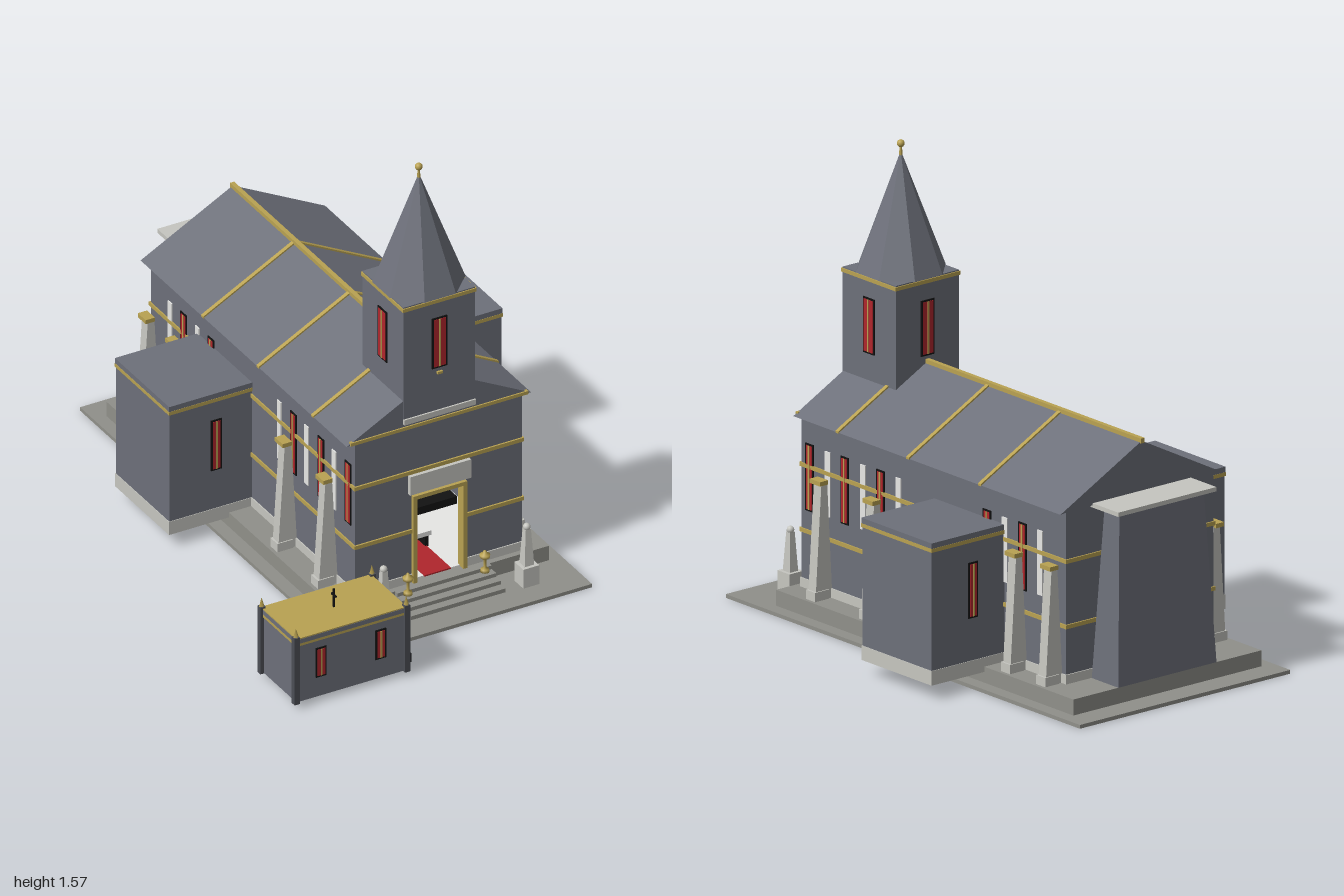
import * as THREE from 'three';

const mat = (name, color, side = THREE.FrontSide) => {
  const m = new THREE.MeshStandardMaterial({ color, side });
  m.name = name;
  return m;
};

export function createModel() {
  const wall = mat('slate grey', 0x6d707a), stone = mat('base stone', 0x90908a);
  const light = mat('light stone', 0xc6c6c0), gold = mat('gold', 0xb9a252);
  const red = mat('red glass', 0xb0262c), black = mat('black', 0x121212);
  const white = mat('white', 0xf4f4f2), dark = mat('dark grey', 0x4c4e55);

  const add = (parent, name, geo, m, x = 0, y = 0, z = 0) => {
    const mesh = new THREE.Mesh(geo, m);
    mesh.name = name;
    mesh.position.set(x, y, z);
    parent.add(mesh);
    return mesh;
  };
  // Box given by its limits
  const box = (p, name, m, x0, x1, y0, y1, z0, z1) => add(p, name,
    new THREE.BoxGeometry(x1 - x0, y1 - y0, z1 - z0), m, (x0 + x1) / 2, (y0 + y1) / 2, (z0 + z1) / 2);
  const group = (p, name, x = 0, y = 0, z = 0) => {
    const g = new THREE.Group();
    g.name = name;
    g.position.set(x, y, z);
    p.add(g);
    return g;
  };
  const poly = pts => new THREE.Shape(pts.map(p => new THREE.Vector2(...p)));
  const extrude = (shape, depth) => new THREE.ExtrudeGeometry(shape, { depth, bevelEnabled: false });
  // Box whose top is scaled inwards
  const tapered = (w, h, d, tx, tz) => {
    const g = new THREE.BoxGeometry(w, h, d), a = g.attributes.position;
    for (let i = 0; i < a.count; i++) {
      if (a.getY(i) > 0) a.setXYZ(i, a.getX(i) * tx, a.getY(i), a.getZ(i) * tz);
    }
    g.computeVertexNormals();
    return g;
  };
  // Framed window facing along the angle ry
  const windowAt = (p, x, y, z, w, h, ry) => {
    const g = group(p, 'window', x, y, z);
    g.rotation.y = ry;
    add(g, 'windowFrame', new THREE.BoxGeometry(w + 0.012, h + 0.012, 0.005), black, 0, 0, 0.001);
    add(g, 'windowGlass', new THREE.BoxGeometry(w, h, 0.008), red, 0, 0, 0.001);
    add(g, 'windowBar', new THREE.BoxGeometry(0.006, h, 0.0095), gold, 0, 0, 0.002);
  };

  const root = new THREE.Group();
  root.name = 'chapelWithOutbuilding';
  const c = group(root, 'chapel', 0.075);

  // Ground slab, plinth, floor and steps
  box(c, 'groundSlab', stone, -0.45, 0.45, 0, 0.013, -1, 0.8);
  box(c, 'plinth', stone, -0.4025, 0.4025, 0.013, 0.068, -0.91, 0.6);
  box(c, 'floor', white, -0.305, 0.305, 0.066, 0.072, -0.76, 0.565);
  box(c, 'carpet', red, -0.05, 0.05, 0.07, 0.075, -0.6, 0.57);
  for (let i = 0; i < 4; i++) {
    box(c, 'step', stone, -0.178, 0.178, 0.013, 0.068 - i * 0.0135, 0.59, 0.615 + i * 0.03);
  }

  // Nave walls with an open doorway
  const front = poly([[-0.315, 0.068], [-0.088, 0.068], [-0.088, 0.39], [0.088, 0.39],
    [0.088, 0.068], [0.315, 0.068], [0.315, 0.67], [-0.315, 0.67]]);
  add(c, 'frontWall', extrude(front, 0.02), wall, 0, 0, 0.555);
  box(c, 'backWall', wall, -0.315, 0.315, 0.068, 0.67, -0.77, -0.75);
  for (const s of [-1, 1]) {
    const xo = s * 0.315, lo = Math.min(xo, s * 0.295), hi = Math.max(xo, s * 0.295);
    box(c, 'sideWall', wall, lo, hi, 0.068, 0.67, -0.77, 0.575);
    box(c, 'sideFooting', light, xo - 0.004, xo + 0.004, 0.068, 0.1, -0.774, 0.579);
    for (const y of [0.265, 0.49]) {
      box(c, 'sideBand', gold, xo - 0.005, xo + 0.005, y - 0.007, y + 0.007, -0.775, 0.58);
    }
    box(c, 'frontFooting', light, s > 0 ? 0.1 : -0.315, s > 0 ? 0.315 : -0.1, 0.068, 0.1, 0.57, 0.579);
    box(c, 'frontBand', gold, s > 0 ? 0.1 : -0.318, s > 0 ? 0.318 : -0.1, 0.258, 0.272, 0.57, 0.581);
    // Red and white windows in turn along the side
    for (const z of [0.533, 0.354, 0.172, -0.37, -0.55]) {
      windowAt(c, xo, 0.453, z, 0.028, 0.22, s * Math.PI / 2);
    }
    for (const z of [0.44, 0.26, 0.08, -0.46, -0.64]) {
      box(c, 'paleWindow', white, xo - 0.004, xo + 0.004, 0.342, 0.565, z - 0.013, z + 0.013);
    }
    // Tapering buttresses with gold caps
    for (const z of [0.44, 0.172, -0.55, -0.73]) {
      const b = poly([[0.313, 0.068], [0.385, 0.068], [0.36, 0.465], [0.335, 0.465]]);
      const g = group(c, 'buttress', 0, 0, z);
      g.rotation.y = s > 0 ? 0 : Math.PI;
      add(g, 'buttressShaft', extrude(b, 0.038), light, 0, 0, -0.019);
      box(g, 'buttressFoot', light, 0.33, 0.39, 0.068, 0.1, -0.023, 0.023);
      box(g, 'buttressCap', gold, 0.337, 0.372, 0.463, 0.478, -0.026, 0.026);
    }
  }
  box(c, 'frontUpperBand', gold, -0.318, 0.318, 0.483, 0.497, 0.57, 0.581);
  box(c, 'frontEaveBand', gold, -0.335, 0.335, 0.66, 0.672, 0.57, 0.583);
  box(c, 'backFooting', light, -0.318, 0.318, 0.068, 0.1, -0.774, -0.765);
  for (const y of [0.265, 0.49]) {
    box(c, 'backBand', gold, -0.318, 0.318, y - 0.007, y + 0.007, -0.775, -0.765);
  }

  // Pitched roof with gold ribs and ridge
  const roof = poly([[-0.348, 0.66], [-0.31, 0.664], [0.31, 0.664], [0.348, 0.66], [0, 0.842]]);
  add(c, 'roof', extrude(roof, 1.358), wall, 0, 0, -0.78);
  const rib = poly([[-0.35, 0.658], [-0.34, 0.658], [0, 0.835], [0.34, 0.658], [0.35, 0.658],
    [0.35, 0.665], [0, 0.848], [-0.35, 0.665]]);
  for (const z of [0.354, -0.005, -0.37]) add(c, 'roofRib', extrude(rib, 0.015), gold, 0, 0, z - 0.0075);
  box(c, 'roofRidge', gold, -0.008, 0.008, 0.835, 0.852, -0.785, 0.31);

  // Tower and spire
  box(c, 'tower', wall, -0.135, 0.135, 0.69, 1.13, 0.31, 0.58);
  box(c, 'towerFooting', light, -0.135, 0.135, 0.682, 0.702, 0.57, 0.586);
  box(c, 'towerBand', gold, -0.139, 0.139, 1.113, 1.126, 0.306, 0.584);
  for (let i = 0; i < 4; i++) {
    const a = i * Math.PI / 2;
    windowAt(c, Math.sin(a) * 0.135, 0.96, 0.445 + Math.cos(a) * 0.135, 0.045, 0.18, a);
  }
  box(c, 'towerOrnament', gold, -0.01, 0.01, 0.841, 0.85, 0.575, 0.588);
  const cone = new THREE.ConeGeometry(0.154, 0.405, 8).toNonIndexed();
  cone.rotateY(Math.PI / 8);
  cone.computeVertexNormals();
  add(c, 'spire', cone, wall, 0, 1.3325, 0.445);
  add(c, 'spireRod', new THREE.CylinderGeometry(0.004, 0.006, 0.04, 8), gold, 0, 1.535, 0.445);
  add(c, 'spireBall', new THREE.SphereGeometry(0.013, 16, 12), gold, 0, 1.56, 0.445);

  // Transepts
  for (const s of [-1, 1]) {
    const g = group(c, 'transept', s * 0.4705, 0, -0.28);
    box(g, 'transeptBody', wall, -0.156, 0.156, 0.05, 0.52, -0.176, 0.176);
    box(g, 'transeptFooting', light, -0.158, 0.158, 0.05, 0.1, -0.178, 0.178);
    box(g, 'transeptBand', gold, -0.159, 0.159, 0.508, 0.521, -0.18, 0.18);
    box(g, 'transeptRoof', wall, -0.158, 0.158, 0.521, 0.54, -0.179, 0.179);
    windowAt(g, -s * 0.02, 0.343, 0.176, 0.028, 0.18, 0);
    windowAt(g, -s * 0.02, 0.343, -0.176, 0.028, 0.18, Math.PI);
  }

  // Rear block with a pale coping
  add(c, 'rearBlock', tapered(0.42, 0.59, 0.135, 0.86, 0.56), wall, 0, 0.363, -0.843);
  box(c, 'rearCoping', light, -0.21, 0.21, 0.656, 0.671, -0.91, -0.77);

  // Doorway frame, sign board and furnishings
  for (const s of [-1, 1]) box(c, 'doorJamb', gold, s * 0.094 - 0.008, s * 0.094 + 0.008, 0.068, 0.4, 0.553, 0.588);
  box(c, 'doorLintel', gold, -0.102, 0.102, 0.386, 0.4, 0.553, 0.588);
  box(c, 'signBoard', light, -0.115, 0.115, 0.41, 0.48, 0.57, 0.59);
  box(c, 'tableTop', white, -0.062, 0.062, 0.118, 0.135, 0.32, 0.42);
  for (const s of [-1, 1]) {
    box(c, 'tableLeg', black, s * 0.05 - 0.006, s * 0.05 + 0.006, 0.07, 0.118, 0.33, 0.41);
    for (const z of [0.2, 0.05, -0.1, -0.25]) {
      box(c, 'pew', black, s * 0.18 - 0.09, s * 0.18 + 0.09, 0.07, 0.1, z - 0.025, z + 0.025);
    }
  }
  box(c, 'altar', gold, -0.025, 0.025, 0.07, 0.22, -0.6, -0.55);

  // Obelisks and urns beside the steps
  const urn = [[0, 0], [0.016, 0], [0.014, 0.01], [0.005, 0.015], [0.005, 0.045], [0.017, 0.055],
    [0.018, 0.065], [0.008, 0.068], [0.004, 0.08], [0, 0.08]].map(p => new THREE.Vector2(...p));
  for (const s of [-1, 1]) {
    const g = group(c, 'obelisk', s * 0.27, 0.013, 0.685);
    box(g, 'obeliskPedestal', light, -0.03, 0.03, 0, 0.072, -0.03, 0.03);
    add(g, 'obeliskShaft', tapered(0.036, 0.135, 0.036, 0.55, 0.55), light, 0, 0.139, 0);
    add(g, 'obeliskBall', new THREE.SphereGeometry(0.013, 12, 8), light, 0, 0.213, 0);
    add(c, 'urn', new THREE.LatheGeometry(urn, 14), gold, s * 0.145, 0.062, 0.627);
  }

  // Small outbuilding with a gold roof
  const h = group(root, 'outbuilding', -0.487, 0, 0.867);
  box(h, 'outbuildingBody', wall, -0.205, 0.205, 0.02, 0.255, -0.112, 0.112);
  box(h, 'outbuildingBand', gold, -0.208, 0.208, 0.234, 0.246, -0.115, 0.115);
  box(h, 'outbuildingEave', wall, -0.209, 0.209, 0.246, 0.262, -0.119, 0.119);
  box(h, 'outbuildingRoof', gold, -0.208, 0.208, 0.262, 0.266, -0.118, 0.118);
  for (const x of [-0.208, 0.208]) {
    for (const z of [-0.113, 0.113]) {
      box(h, 'cornerPost', dark, x - 0.01, x + 0.01, 0.018, 0.272, z - 0.01, z + 0.01);
      add(h, 'postSpike', new THREE.ConeGeometry(0.01, 0.033, 4), gold, x, 0.288, z);
    }
  }
  for (const x of [-0.113, 0.112]) {
    windowAt(h, x, 0.15, 0.112, 0.028, 0.1, 0);
    windowAt(h, x, 0.15, -0.112, 0.028, 0.1, Math.PI);
  }
  box(h, 'roofCrossUpright', black, -0.003, 0.003, 0.266, 0.335, -0.003, 0.003);
  box(h, 'roofCrossArm', black, -0.003, 0.003, 0.308, 0.314, -0.014, 0.014);
  // Outbuilding door and the lamps outside it
  box(h, 'outbuildingDoorFrame', gold, 0.2, 0.208, 0.02, 0.167, -0.043, 0.043);
  box(h, 'outbuildingDoor', wall, 0.2, 0.2095, 0.02, 0.158, -0.035, 0.035);
  box(h, 'doorLowerPanel', red, 0.202, 0.211, 0.045, 0.072, -0.033, 0.033);
  box(h, 'doorPanelTrim', white, 0.202, 0.2115, 0.072, 0.08, -0.033, 0.033);
  box(h, 'doorUpperPanel', gold, 0.202, 0.211, 0.08, 0.095, -0.02, 0.02);
  for (const z of [-0.065, 0.065]) box(h, 'groundLamp', black, 0.232, 0.25, 0.018, 0.052, z - 0.009, z + 0.009);

  return root;
}
